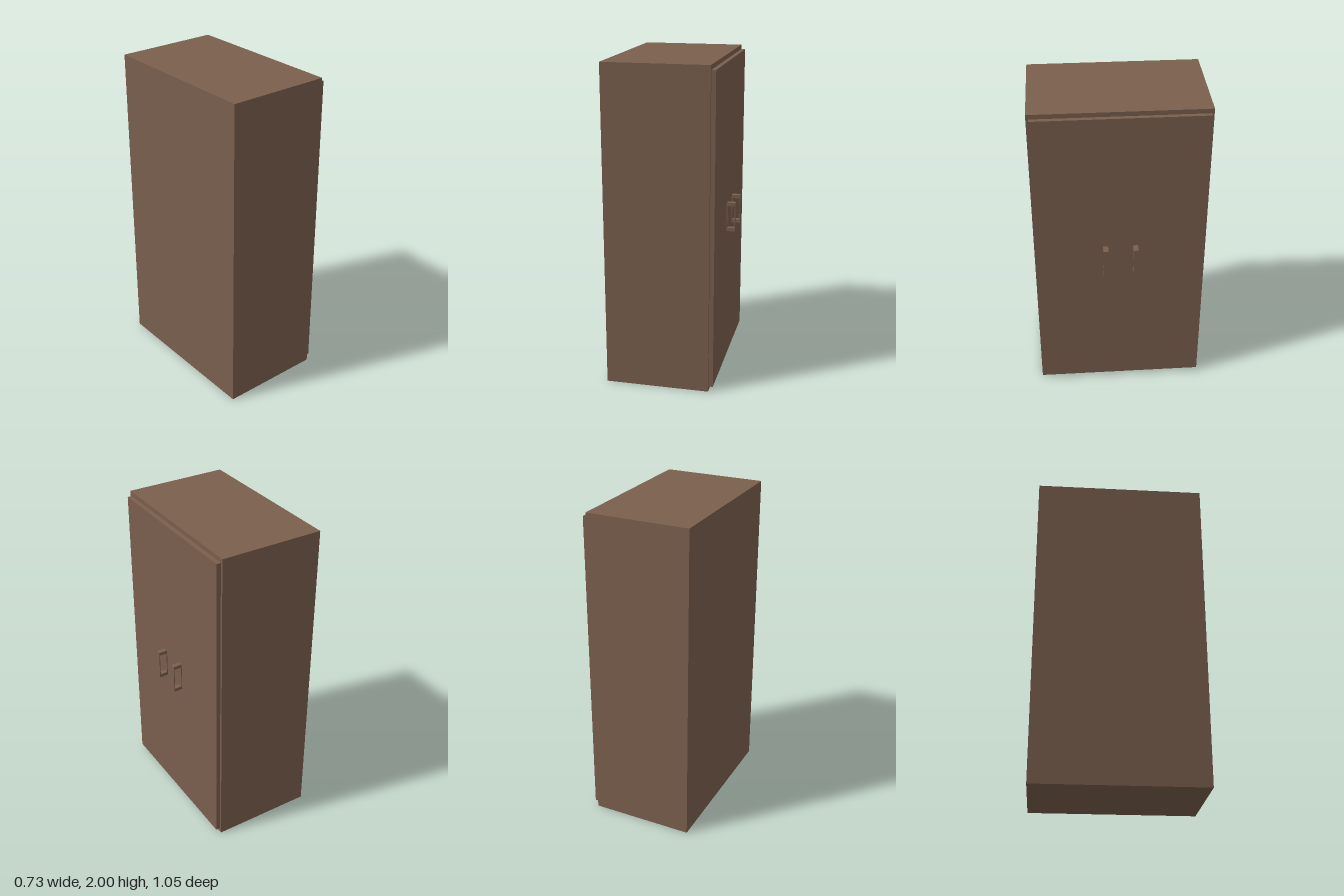
import * as THREE from 'three';

const wood = new THREE.MeshStandardMaterial({ color: 0x7a5f4d });

// Box given by its minimum and maximum corners
function box(name, [x0, y0, z0], [x1, y1, z1]) {
  const geometry = new THREE.BoxGeometry(x1 - x0, y1 - y0, z1 - z0);
  geometry.translate((x0 + x1) / 2, (y0 + y1) / 2, (z0 + z1) / 2);
  const mesh = new THREE.Mesh(geometry, wood);
  mesh.name = name;
  return mesh;
}

// Rectangular loop handle, extruded along z
function handle(name, z) {
  const x0 = 0.308, x1 = 0.364, y0 = 0.908, y1 = 1.094, depth = 0.031;
  const shape = new THREE.Shape();
  shape.moveTo(x0, y0).lineTo(x1, y0).lineTo(x1, y1).lineTo(x0, y1).closePath();
  const hole = new THREE.Path();
  const hx0 = x0 + 0.005, hx1 = x1 - 0.005, hy0 = y0 + 0.022, hy1 = y1 - 0.022;
  hole.moveTo(hx0, hy0).lineTo(hx0, hy1).lineTo(hx1, hy1).lineTo(hx1, hy0).closePath();
  shape.holes.push(hole);
  const geometry = new THREE.ExtrudeGeometry(shape, { depth, bevelEnabled: false });
  geometry.translate(0, 0, z - depth / 2);
  const mesh = new THREE.Mesh(geometry, wood);
  mesh.name = name;
  return mesh;
}

export function createModel() {
  const cabinet = new THREE.Group();
  cabinet.name = 'cabinet';

  // Carcass and the slightly smaller door panel on its +x side
  cabinet.add(box('body', [-0.364, 0, -0.527], [0.281, 2, 0.527]));
  cabinet.add(box('doorPanel', [0.281, 0.028, -0.512], [0.308, 1.972, 0.512]));

  // Pair of handles either side of the middle
  for (const side of [-1, 1]) {
    cabinet.add(handle(side < 0 ? 'handleBack' : 'handleFront', side * 0.092));
  }
  return cabinet;
}
